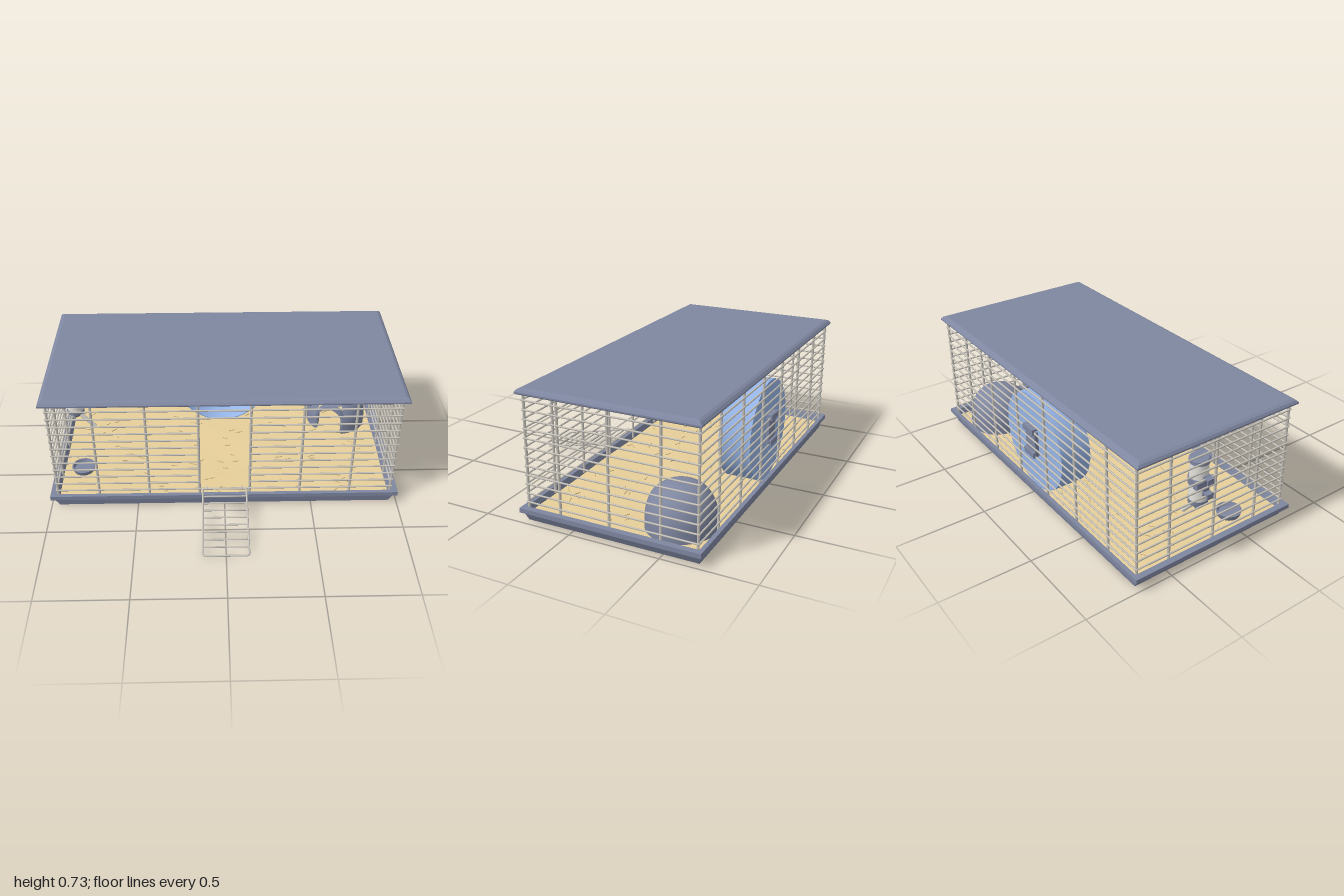
import * as THREE from 'three';

const material = (name, color, side = THREE.FrontSide) => {
  const m = new THREE.MeshStandardMaterial({ color, side });
  m.name = name;
  return m;
};
const V = (x, y, z) => new THREE.Vector3(x, y, z);

// Rectangular loft through rings of [half width, half depth, height]
function rectLoft(rings) {
  const corners = [[1, 1], [1, -1], [-1, -1], [-1, 1]];
  const pos = [];
  for (let i = 0; i < rings.length - 1; i++) {
    for (let j = 0; j < 4; j++) {
      const p = (r, c) => [r[0] * corners[c % 4][0], r[2], r[1] * corners[c % 4][1]];
      const a = p(rings[i], j), b = p(rings[i], j + 1);
      const c = p(rings[i + 1], j + 1), d = p(rings[i + 1], j);
      pos.push(...a, ...b, ...c, ...a, ...c, ...d);
    }
  }
  const g = new THREE.BufferGeometry();
  g.setAttribute('position', new THREE.Float32BufferAttribute(pos, 3));
  g.computeVertexNormals();
  return g;
}

// Lathe with crisp edges: each profile segment gets its own normals
function lathe(parent, name, points, mat, segments = 40) {
  const group = new THREE.Group();
  group.name = name;
  for (let i = 0; i < points.length - 1; i++) {
    const g = new THREE.LatheGeometry([points[i], points[i + 1]].map(p => new THREE.Vector2(...p)), segments);
    group.add(new THREE.Mesh(g, mat));
    group.children[i].name = name + 'Band';
  }
  parent.add(group);
  return group;
}

function add(parent, name, geometry, mat, x = 0, y = 0, z = 0) {
  const mesh = new THREE.Mesh(geometry, mat);
  mesh.name = name;
  mesh.position.set(x, y, z);
  parent.add(mesh);
  return mesh;
}

function rod(parent, name, a, b, r, mat) {
  const mesh = add(parent, name, new THREE.CylinderGeometry(r, r, a.distanceTo(b), 8), mat);
  mesh.position.copy(a).lerp(b, 0.5);
  mesh.quaternion.setFromUnitVectors(V(0, 1, 0), b.clone().sub(a).normalize());
  return mesh;
}

function subgroup(parent, name, x = 0, y = 0, z = 0) {
  const g = new THREE.Group();
  g.name = name;
  g.position.set(x, y, z);
  parent.add(g);
  return g;
}

export function createModel() {
  const slate = material('slate plastic', 0x7f87a1, THREE.DoubleSide);
  const blue = material('blue plastic', 0x9abaee, THREE.DoubleSide);
  const metal = material('wire metal', 0xc6c2ba);
  const clear = material('bottle grey', 0xe6e4de);
  const tan = material('bedding tan', 0xe8d09a);
  const straw = material('straw flakes', 0xcdb480);
  const model = new THREE.Group();
  model.name = 'petCage';

  // Tray and lid
  const midZ = -0.21;
  add(model, 'tray', rectLoft([[0, 0, 0], [0.955, 0.48, 0], [0.985, 0.49, 0.055], [1, 0.505, 0.055],
    [1, 0.505, 0.08], [0.965, 0.482, 0.08], [0.95, 0.47, 0.035], [0, 0, 0.035]]), slate, 0, 0, midZ);
  add(model, 'lid', rectLoft([[0, 0, 0.69], [0.985, 0.487, 0.69], [0.997, 0.497, 0.698], [0.997, 0.497, 0.706],
    [0.988, 0.485, 0.718], [0.972, 0.47, 0.725], [0, 0, 0.725]]), slate, 0, 0, midZ);

  // Bedding with gentle waves and scattered flakes
  const bed = new THREE.PlaneGeometry(1.91, 0.95, 40, 20).rotateX(-Math.PI / 2);
  const bp = bed.attributes.position;
  for (let i = 0; i < bp.count; i++) {
    bp.setY(i, 0.004 * Math.sin(bp.getX(i) * 9) * Math.cos(bp.getZ(i) * 11));
  }
  bed.computeVertexNormals();
  add(model, 'bedding', bed, tan, 0, 0.044, midZ);
  let seed = 7;
  const rand = () => (seed = (seed * 16807) % 2147483647) / 2147483647;
  const flakes = subgroup(model, 'strawFlakes');
  for (let i = 0; i < 80; i++) {
    const f = add(flakes, 'flake', new THREE.BoxGeometry(0.02 + rand() * 0.025, 0.003, 0.004), straw,
      (rand() - 0.5) * 1.8, 0.047, midZ + (rand() - 0.5) * 0.88);
    f.rotation.y = (rand() - 0.5) * 1.6;
  }

  // Wire walls: uprights, then horizontal wires with a door opening in front
  const wires = subgroup(model, 'wireWalls');
  const front = 0.262, back = -0.682, side = 0.957;
  const upright = (x, z) => rod(wires, 'upright', V(x, 0.05, z), V(x, 0.7, z), 0.0075, metal);
  for (const x of [-side, -0.72, -0.432, -0.144, 0.144, 0.432, 0.72, side]) {
    upright(x, front);
    upright(x, back);
  }
  for (const z of [0.073, -0.207, -0.488]) {
    upright(-side, z);
    upright(side, z);
  }
  for (let i = 0; i < 12; i++) {
    const y = 0.106 + i * 0.05, fz = front + 0.007, bz = back - 0.007, sx = side + 0.007;
    const wire = (a, b) => rod(wires, 'wire', a, b, 0.005, metal);
    wire(V(-sx, y, bz), V(sx, y, bz));
    for (const s of [-1, 1]) wire(V(s * sx, y, bz), V(s * sx, y, fz));
    if (i > 0 && i < 10) for (const s of [-1, 1]) wire(V(s * 0.144, y, fz), V(s * sx, y, fz));
    else wire(V(-sx, y, fz), V(sx, y, fz));
  }

  // Fold-down door ramp
  const ramp = subgroup(model, 'doorRamp');
  const top = V(0, 0.108, 0.275), end = V(0, 0.009, 0.71);
  const at = (t, x) => { const p = top.clone().lerp(end, t); p.x = x; return p; };
  for (const s of [-1, 1]) {
    rod(ramp, 'rampRail', at(0, s * 0.125), at(0.98, s * 0.125), 0.0055, metal);
    rod(ramp, 'rampCorner', at(0.98, s * 0.125), at(1, s * 0.116), 0.0055, metal);
    add(ramp, 'hinge', new THREE.TorusGeometry(0.011, 0.003, 6, 14).rotateY(Math.PI / 2), metal,
      s * 0.1, 0.112, 0.272);
  }
  rod(ramp, 'rampTop', at(0, -0.125), at(0, 0.125), 0.0055, metal);
  rod(ramp, 'rampEnd', at(1, -0.117), at(1, 0.117), 0.0055, metal);
  for (let i = 1; i < 9; i++) {
    const r = rod(ramp, 'rung', at(i * 0.108, -0.127), at(i * 0.108, 0.127), 0.0045, metal);
    r.position.y -= 0.006;
  }

  // Exercise wheel: open drum facing front, hub and rear bracket
  const wheel = subgroup(model, 'exerciseWheel', 0, 0.325, -0.668);
  const drum = lathe(wheel, 'drum', [[0, 0], [0.285, 0], [0.285, 0.178], [0.279, 0.178], [0.254, 0.012], [0, 0.012]], blue, 48);
  drum.rotation.x = Math.PI / 2;
  const hub = lathe(wheel, 'hub', [[0.092, 0.012], [0.088, 0.035], [0.062, 0.045], [0.06, 0.06],
    [0.03, 0.064], [0.026, 0.072], [0, 0.072]], slate, 32);
  hub.rotation.x = Math.PI / 2;
  add(wheel, 'bracket', new THREE.BoxGeometry(0.1, 0.15, 0.022), slate, 0, 0.005, -0.01);
  for (const y of [0.087, -0.06]) {
    add(wheel, 'bracketHook', new THREE.BoxGeometry(0.1, 0.028, 0.012), slate, 0, y, -0.03);
    add(wheel, 'hookArm', new THREE.BoxGeometry(0.1, 0.01, 0.036), slate, 0, y + 0.012, -0.016);
  }

  // Domed hideout with an arched entrance set flush in a flat cut
  const house = subgroup(model, 'hideout', 0.738, 0.04, -0.492);
  house.rotation.y = -0.4;
  const profile = (u) => new THREE.Vector2(0.183 * Math.pow(Math.cos(u), 0.8), 0.06 + 0.19 * Math.sin(u));
  const uCut = 0.75, upper = [], lower = [new THREE.Vector2(0.183, 0)];
  for (let i = 0; i <= 10; i++) {
    lower.push(profile(uCut * i / 10));
    upper.push(i < 10 ? profile(uCut + (Math.PI / 2 - uCut) * i / 10) : new THREE.Vector2(0, 0.25));
  }
  add(house, 'domeTop', new THREE.LatheGeometry(upper, 48), slate);
  add(house, 'domeWall', new THREE.LatheGeometry(lower, 44, 0.5, Math.PI * 2 - 1), slate);
  const arch = (shape, w, h) => {
    shape.moveTo(-w, 0);
    shape.lineTo(w, 0);
    shape.lineTo(w, h);
    shape.absarc(0, h, w, 0, Math.PI, false);
    shape.lineTo(-w, 0);
    return shape;
  };
  const porch = arch(new THREE.Shape(), 0.092, 0.092);
  porch.holes.push(arch(new THREE.Path(), 0.075, 0.09));
  add(house, 'entranceArch', new THREE.ExtrudeGeometry(porch,
    { depth: 0.04, bevelEnabled: false, curveSegments: 20 }), slate, 0, 0, 0.116);

  // Water bottle hung on the right end
  const bottle = subgroup(model, 'waterBottle', -0.897, 0, -0.262);
  lathe(bottle, 'bottleBody', [[0.049, 0.3], [0.049, 0.53]], clear, 28);
  lathe(bottle, 'bottleTop', [[0.053, 0.522], [0.053, 0.543], [0.047, 0.549], [0, 0.549]], slate, 28);
  lathe(bottle, 'bottleCap', [[0, 0.25], [0.02, 0.252], [0.03, 0.272], [0.05, 0.284], [0.053, 0.31], [0.047, 0.31]], slate, 28);
  lathe(bottle, 'strap', [[0.049, 0.4], [0.055, 0.4], [0.055, 0.438], [0.049, 0.438]], slate, 28);
  add(bottle, 'strapClip', new THREE.BoxGeometry(0.03, 0.038, 0.12), slate, -0.045, 0.419, 0);
  for (const y of [0.45, 0.365]) {
    add(bottle, 'clipHook', new THREE.BoxGeometry(0.035, 0.009, 0.04), slate, -0.073, y + 0.008, 0);
    add(bottle, 'clipTip', new THREE.BoxGeometry(0.008, 0.03, 0.04), slate, -0.087, y - 0.003, 0);
  }
  add(bottle, 'clipPlate', new THREE.BoxGeometry(0.008, 0.11, 0.04), slate, -0.056, 0.41, 0);
  rod(bottle, 'spout', V(0.005, 0.285, 0), V(0.108, 0.166, 0), 0.013, clear);

  // Food bowl
  const bowl = subgroup(model, 'foodBowl', -0.84, 0.04, 0.01);
  lathe(bowl, 'bowlShell', [[0.058, 0], [0.07, 0.036], [0.062, 0.038], [0.054, 0.02], [0, 0.02]], slate, 28);
  return model;
}
